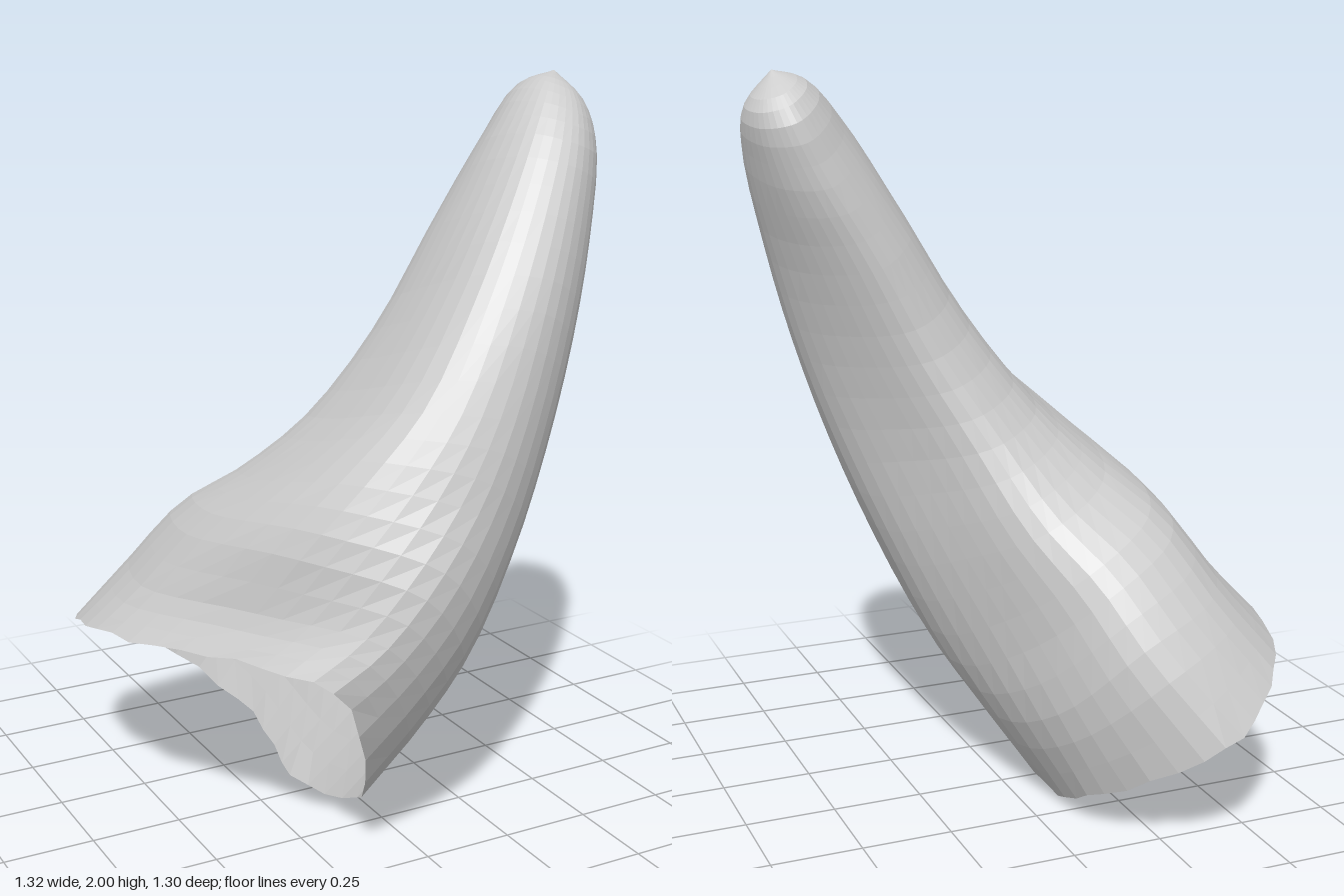
import * as THREE from 'three';

const V = (p) => new THREE.Vector3(...p);

// Cross-sections from the open base to the tip: front, underside, back and upper-side points,
// then how full each quarter between them is.
const SECTIONS = [
  [[-0.32, 0.56, 0.57], [-0.10, 0.00, -0.10], [-0.36, 0.30, -0.65], [-0.66, 0.53, -0.17], [0.78, 0.74, 0.69, 0.58]],
  [[-0.21, 0.66, 0.62], [0.03, 0.20, 0.00], [-0.19, 0.53, -0.54], [-0.56, 0.64, -0.12], [0.78, 0.68, 0.70, 0.60]],
  [[-0.08, 0.82, 0.65], [0.15, 0.40, 0.08], [-0.10, 0.70, -0.42], [-0.42, 0.85, 0.00], [0.76, 0.61, 0.70, 0.71]],
  [[0.07, 1.00, 0.62], [0.28, 0.68, 0.15], [0.00, 0.84, -0.28], [-0.27, 0.99, 0.10], [0.74, 0.58, 0.70, 0.80]],
  [[0.19, 1.20, 0.58], [0.40, 0.97, 0.20], [0.10, 1.04, -0.15], [-0.10, 1.15, 0.18], [0.72, 0.58, 0.70, 0.82]],
  [[0.31, 1.45, 0.52], [0.50, 1.25, 0.22], [0.23, 1.27, -0.07], [0.08, 1.39, 0.20], [0.71, 0.61, 0.70, 0.79]],
  [[0.42, 1.67, 0.44], [0.58, 1.52, 0.20], [0.36, 1.52, -0.045], [0.24, 1.65, 0.19], [0.71, 0.65, 0.70, 0.75]],
  [[0.51, 1.85, 0.35], [0.645, 1.77, 0.16], [0.49, 1.74, -0.03], [0.38, 1.86, 0.16], [0.71, 0.70, 0.70, 0.72]],
  [[0.56, 1.95, 0.25], [0.655, 1.90, 0.12], [0.57, 1.91, 0.00], [0.49, 1.975, 0.13], [0.71, 0.71, 0.71, 0.71]],
];
const TIP = V([0.58, 2.0, 0.13]);
const AROUND = 40, ALONG = 28;

// Closed curve through the four anchors and the four quarters between them
function sectionCurve([f, r, b, l, fullness], index) {
  const anchors = [f, r, b, l].map(V);
  const c = new THREE.Vector3();
  anchors.forEach((a) => c.addScaledVector(a, 0.25));
  const pts = [];
  anchors.forEach((a, i) => {
    const n = anchors[(i + 1) % 4];
    const k = fullness[i];
    pts.push(a, c.clone().addScaledVector(a.clone().sub(c), k).addScaledVector(n.clone().sub(c), k));
  });
  if (index === 0) { // lower lip sweeping up to the front and back corners
    pts[1].set(-0.14, 0.17, 0.40);
    pts[3].set(-0.12, 0.12, -0.42);
  }
  return new THREE.CatmullRomCurve3(pts, true, 'centripetal');
}

function hornGeometry() {
  const curves = SECTIONS.map(sectionCurve);
  const position = [], index = [];
  // Lengthwise curves, from rim to tip
  const columns = Array.from({ length: AROUND }, (_, j) =>
    new THREE.CatmullRomCurve3([...curves.map((c) => c.getPoint(j / AROUND)), TIP], false, 'centripetal'));
  for (let i = 0; i < ALONG; i++) {
    const t = 1 - Math.pow(1 - i / ALONG, 1.15);
    columns.forEach((column, j) => {
      const p = column.getPoint(t);
      // slightly ragged rim
      if (i === 0) p.addScaledVector(V([0.7, 0.7, 0]), 0.006 * (Math.sin(j * 2.3) + Math.sin(j * 1.1)));
      p.y = Math.max(p.y, 0);
      position.push(p.x, p.y, p.z);
    });
  }
  position.push(TIP.x, TIP.y, TIP.z);
  for (let i = 0; i < ALONG; i++) {
    for (let j = 0; j < AROUND; j++) {
      const k = (j + 1) % AROUND;
      const a = i * AROUND + j, b = i * AROUND + k;
      if (i === ALONG - 1) index.push(a, b, ALONG * AROUND);
      else index.push(a, b, b + AROUND, a, b + AROUND, a + AROUND);
    }
  }
  const geometry = new THREE.BufferGeometry();
  geometry.setAttribute('position', new THREE.Float32BufferAttribute(position, 3));
  geometry.setIndex(index);
  geometry.computeVertexNormals();
  return geometry;
}

export function createModel() {
  const group = new THREE.Group();
  group.name = 'curvedHorn';
  const material = new THREE.MeshStandardMaterial({ color: 0xcccccc, flatShading: true, side: THREE.DoubleSide });
  material.name = 'pale grey';
  const horn = new THREE.Mesh(hornGeometry(), material);
  horn.name = 'hornShell';
  group.add(horn);
  return group;
}
